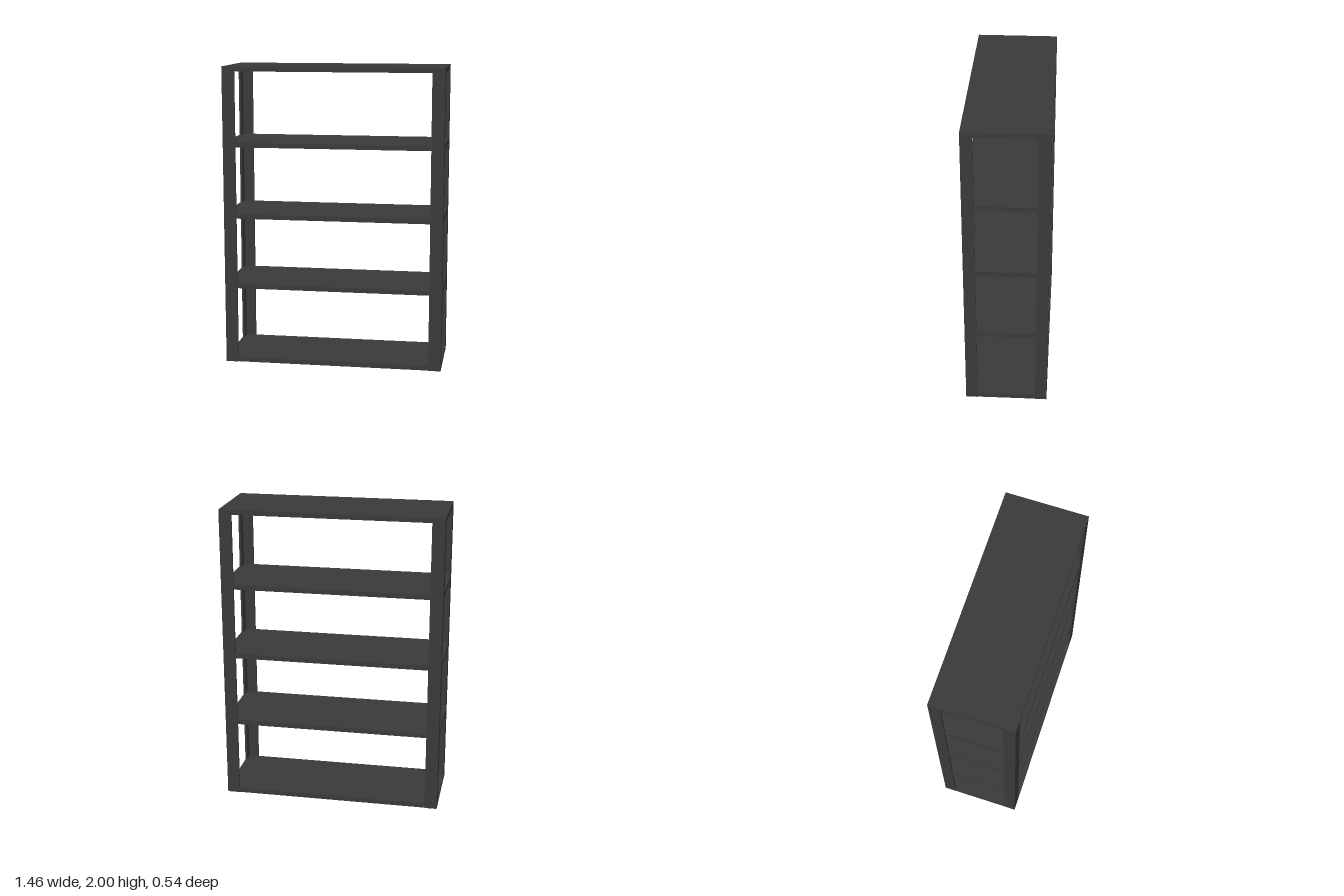
import * as THREE from 'three';

const W = 0.73, D = 0.27, H = 2;          // half width, half depth, height
const FX = 0.083, FZ = 0.077, T = 0.014;  // post flange widths and sheet thickness
const SHELF = 0.032;

// Closed plan outline (x, z) extruded upwards from y = 0
function extrudePlan(points, height) {
  const shape = new THREE.Shape(points.map(([x, z]) => new THREE.Vector2(x, -z)));
  const geometry = new THREE.ExtrudeGeometry(shape, { depth: height, bevelEnabled: false });
  return geometry.rotateX(-Math.PI / 2);
}

export function createModel() {
  const group = new THREE.Group();
  group.name = 'shelvingUnit';
  const material = new THREE.MeshStandardMaterial({ color: 0x3a3a3a });

  const add = (name, geometry, y = 0) => {
    const mesh = new THREE.Mesh(geometry, material);
    mesh.name = name;
    mesh.position.y = y;
    group.add(mesh);
  };

  // L-shaped corner posts
  for (const sx of [1, -1]) {
    for (const sz of [1, -1]) {
      const plan = [
        [W, D], [W - FX, D], [W - FX, D - T],
        [W - T, D - T], [W - T, D - FZ], [W, D - FZ],
      ].map(([x, z]) => [x * sx, z * sz]);
      add(`${sz > 0 ? 'front' : 'back'}${sx > 0 ? 'Left' : 'Right'}Post`, extrudePlan(plan, H));
    }
  }

  // Shelves, notched at the corners to sit inside the posts
  const corner = [[W, D - FZ], [W - T, D - FZ], [W - T, D - T], [W - FX, D - T], [W - FX, D]];
  const plan = [];
  for (const [sx, sz] of [[1, 1], [-1, 1], [-1, -1], [1, -1]]) {
    const points = corner.map(([x, z]) => [x * sx, z * sz]);
    plan.push(...(sx * sz > 0 ? points : points.reverse()));
  }
  const shelf = extrudePlan(plan, SHELF);
  [0.034, 0.547, 1.024, 1.502, H].forEach((top, i) => add(`shelf${i + 1}`, shelf, top - SHELF));

  return group;
}
